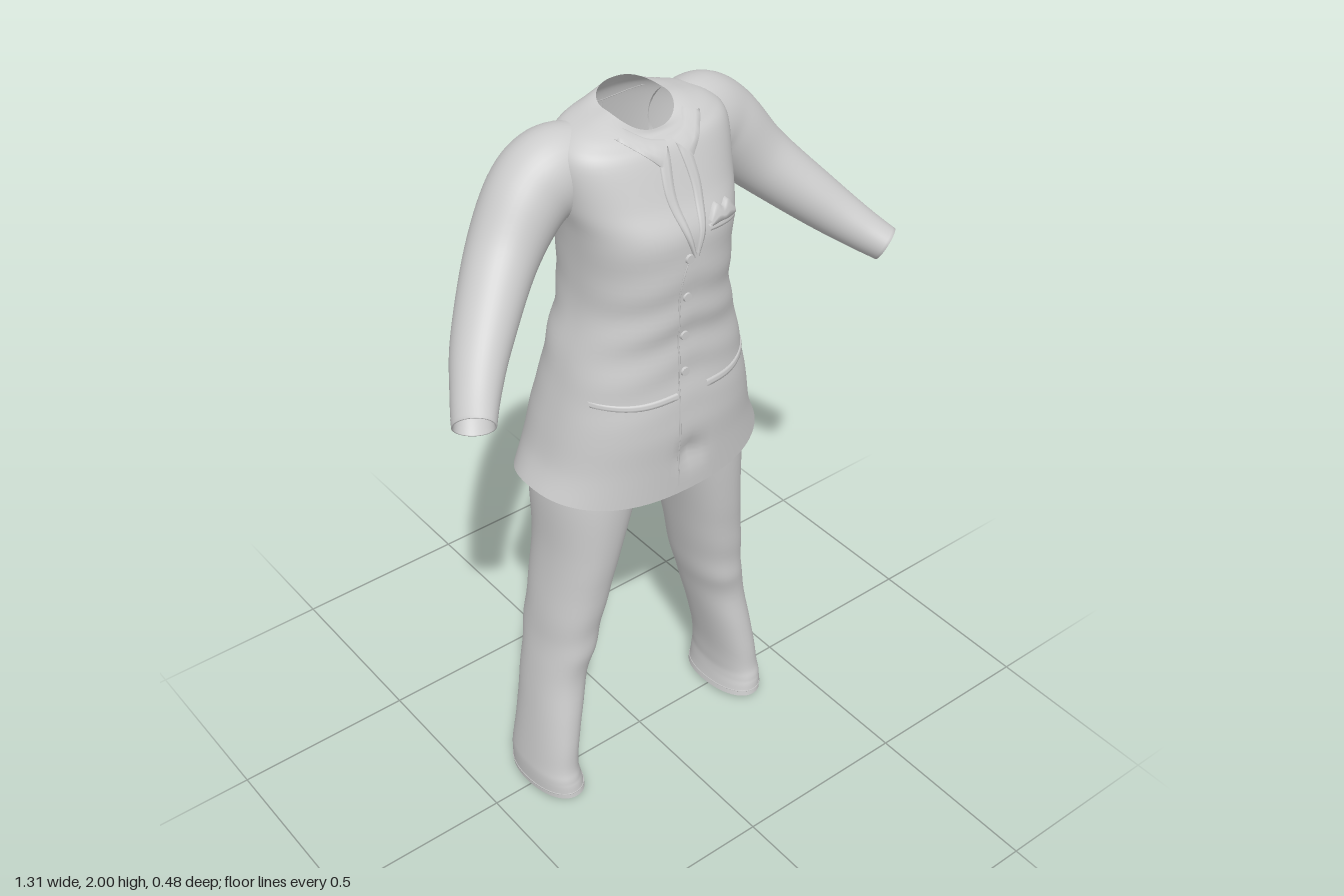
import * as THREE from 'three';

const V = (x, y, z) => new THREE.Vector3(x, y, z);
const material = new THREE.MeshStandardMaterial({ color: 0xcccccc, side: THREE.DoubleSide });

// Smoothly interpolate rows of numbers, n steps between neighbouring rows
function smoothRows(rows, n) {
  const out = [];
  const at = (i) => rows[Math.min(Math.max(i, 0), rows.length - 1)];
  for (let i = 0; i < rows.length - 1; i++) {
    for (let k = 0; k < n; k++) {
      const t = k / n;
      out.push(rows[i].map((b, c) => {
        const a = at(i - 1)[c], d = at(i + 1)[c], e = at(i + 2)[c];
        return 0.5 * (2 * b + (d - a) * t + (2 * a - 5 * b + 4 * d - e) * t * t + (3 * b - a - 3 * d + e) * t ** 3);
      }));
    }
  }
  out.push(rows[rows.length - 1]);
  return out;
}

// Skin a list of rings (closed) or strips (open) with smooth normals
function skin(name, rings, closed = true) {
  const cols = rings[0].length, index = [];
  for (let r = 0; r < rings.length - 1; r++) {
    for (let c = 0; c < (closed ? cols : cols - 1); c++) {
      const a = r * cols + c, b = r * cols + (c + 1) % cols;
      index.push(a, b, a + cols, b, b + cols, a + cols);
    }
  }
  const geometry = new THREE.BufferGeometry().setFromPoints(rings.flat());
  geometry.setIndex(index);
  geometry.computeVertexNormals();
  const mesh = new THREE.Mesh(geometry, material);
  mesh.name = name;
  return mesh;
}

const mirror = (rings) => rings.map((r) => r.map((p) => V(-p.x, p.y, p.z)).reverse());
const spow = (v, p) => Math.sign(v) * Math.abs(v) ** p;

// Horizontal ring: y, inner x, outer x, front z, back z, front and back drop
function ring([y, x0, x1, zf, zb, dropF = 0, dropB = 0], cols, p) {
  return Array.from({ length: cols }, (_, i) => {
    const a = (i / cols) * Math.PI * 2, c = spow(Math.cos(a), p), s = spow(Math.sin(a), p);
    return V((x0 + x1) / 2 + c * (x1 - x0) / 2, y + (s > 0 ? dropF : dropB) * s * s,
      (zf + zb) / 2 + s * (zf - zb) / 2);
  });
}

// Sleeve rings across a bent path: x, y, z, radius up, radius sideways
function sleeveRings(rows, cols) {
  return rows.map(([x, y, z, rn, rs], i) => {
    const p = rows[Math.max(i - 1, 0)], q = rows[Math.min(i + 1, rows.length - 1)];
    const t = V(q[0] - p[0], q[1] - p[1], q[2] - p[2]).normalize();
    const s = t.clone().cross(V(1, 1, 0)).normalize(), n = s.clone().cross(t);
    return Array.from({ length: cols }, (_, k) => {
      const a = (k / cols) * Math.PI * 2;
      return V(x, y, z).addScaledVector(n, rn * Math.cos(a)).addScaledVector(s, rs * Math.sin(a));
    });
  });
}

export function createModel() {
  const model = new THREE.Group();
  model.name = 'suit';

  // Jacket body from neckline to flared hem, with shallow cloth folds
  const jacketRows = [
    [1.975, .085, .065, -.095, -.04, .022], [1.966, .13, .085, -.115, -.03, .005],
    [1.945, .195, .1, -.13, -.02, 0], [1.9, .232, .125, -.14, 0, 0], [1.8, .225, .168, -.155, 0, 0],
    [1.72, .208, .205, -.165, 0, 0], [1.6, .2, .205, -.175, 0, 0], [1.5, .206, .198, -.17, 0, 0],
    [1.4, .235, .195, -.175, 0, 0], [1.3, .257, .204, -.19, 0, 0], [1.2, .28, .212, -.214, 0, 0],
    [1.1, .303, .207, -.225, 0, 0], [1.03, .335, .203, -.23, -.035, -.045],
  ].map(([y, rx, ...rest]) => [y, -rx, rx, ...rest]);
  const jacketRings = smoothRows(jacketRows, 6).map((row) => ring(row, 80, .85));
  for (const p of jacketRings.flat()) {
    const fold = Math.max(0, 1 - Math.abs(p.y - 1.48) / .3);
    p.z += .004 * fold * Math.sin(p.y * 55 + Math.abs(p.x) * 14);
    // hollow beneath the front closure
    p.z -= p.z > 0 ? .02 * Math.exp(-(((p.x) / .03) ** 2) - ((p.y - 1.11) / .04) ** 2) : 0;
  }
  const jacket = skin('jacketBody', jacketRings);
  model.add(jacket);

  // Find the cloth surface in front (side 1) or behind (side -1)
  const ray = new THREE.Raycaster();
  function onCloth(x, y, side = 1, lift = .003) {
    ray.set(V(x, y, side), V(0, 0, -side));
    const hit = ray.intersectObject(jacket)[0];
    return V(x, y, (hit ? hit.point.z : .08 * side) + side * lift);
  }
  function seam(name, pts, side = 1, r = .0022) {
    const flat = new THREE.CatmullRomCurve3(pts.map(([x, y]) => V(x, y, 0))).getPoints(24);
    const path = new THREE.CatmullRomCurve3(flat.map((p) => onCloth(p.x, p.y, side, .001)));
    const mesh = new THREE.Mesh(new THREE.TubeGeometry(path, 40, r, 5), material);
    mesh.name = name;
    model.add(mesh);
  }
  // Thin cloth panel lying between two edge lines
  function panel(name, edgeA, edgeB, lift = .006) {
    const curve = (e) => new THREE.CatmullRomCurve3(e.map(([x, y]) => V(x, y, 0))).getPoints(16);
    const a = curve(edgeA), b = curve(edgeB);
    const rows = a.map((p, i) => [0, .04, .35, .65, .96, 1].map((t, k) => {
      const q = p.clone().lerp(b[i], t);
      return onCloth(q.x, q.y, 1, k % 5 ? lift : -.001);
    }));
    model.add(skin(name, rows, false));
  }

  // Lapels, collar wings and pocket flaps, mirrored
  for (const s of [1, -1]) {
    const m = (pts) => pts.map(([x, y]) => [x * s, y]);
    panel('lapel', m([[.012, 1.915], [.025, 1.82], [.016, 1.75], [.002, 1.68]]),
      m([[.045, 1.9], [.05, 1.82], [.035, 1.75], [.006, 1.67]]));
    panel('collarWing', m([[.008, 1.925], [.05, 1.935], [.085, 1.955]]),
      m([[.045, 1.88], [.07, 1.905], [.12, 1.945]]), .008);
    panel('pocketFlap', m([[.045, 1.305], [.14, 1.3], [.235, 1.308]]),
      m([[.045, 1.288], [.14, 1.284], [.235, 1.294]]), .004);
  }

  // Breast pocket with a folded cloth peeking out
  panel('breastPocket', [[.04, 1.735], [.09, 1.732], [.145, 1.722]], [[.042, 1.722], [.09, 1.717], [.145, 1.709]]);
  panel('pocketCloth', [[.045, 1.745], [.075, 1.772], [.095, 1.758], [.115, 1.768], [.14, 1.735]],
    [[.045, 1.734], [.075, 1.733], [.095, 1.73], [.115, 1.727], [.14, 1.724]], .012);

  // Front closure, centre back seam and vent
  seam('frontEdge', [[-.01, 1.68], [-.035, 1.62], [-.035, 1.4], [-.04, 1.2], [-.035, 1.02]]);
  seam('backSeam', [[0, 1.93], [0, 1.7], [0, 1.5], [0, 1.26]], -1, .0018);
  seam('backVent', [[0, 1.26], [.004, 1.12], [.008, 1.0]], -1, .004);
  seam('yokeStitch', [[-.11, 1.935], [0, 1.925], [.11, 1.935]], -1, .0018);
  for (const y of [1.67, 1.565, 1.455, 1.355]) {
    const button = new THREE.Mesh(new THREE.CylinderGeometry(.011, .012, .006, 20), material);
    button.rotation.x = Math.PI / 2;
    button.position.copy(onCloth(-.018, y));
    button.name = 'frontButton';
    model.add(button);
  }

  // Sleeves, bent forward at the elbow, with a turned-in cuff
  const sleeve = sleeveRings(smoothRows([
    [.14, 1.848, -.04, .105, .09], [.215, 1.845, -.05, .112, .1], [.285, 1.805, -.047, .102, .096],
    [.38, 1.7, -.015, .084, .086], [.5, 1.58, .075, .067, .073], [.57, 1.513, .148, .054, .06],
    [.617, 1.472, .207, .045, .053],
  ], 7), 40);
  const last = sleeve[sleeve.length - 1];
  const hub = last.reduce((a, p) => a.add(p), V(0, 0, 0)).divideScalar(last.length);
  const inward = V(-.02, .02, -.025);
  sleeve.push(last.map((p) => p.clone().lerp(hub, .08)), last.map((p) => p.clone().lerp(hub, .12).add(inward)));
  model.add(skin('leftSleeve', sleeve), skin('rightSleeve', mirror(sleeve)));
  for (const s of [1, -1]) {
    for (const k of [3, 6, 9]) {
      const p = sleeve[sleeve.length - 3 - k][31];
      const button = new THREE.Mesh(new THREE.SphereGeometry(.006, 10, 8), material);
      button.position.set(p.x * s, p.y, p.z);
      button.name = 'cuffButton';
      model.add(button);
    }
  }

  // Trouser legs, spread apart, with a crease and a flared hem
  const leg = smoothRows([
    [1.18, .0, .25, .14, -.16], [1.0, .045, .288, .145, -.175], [.8, .105, .295, .13, -.147],
    [.6, .15, .32, .105, -.14], [.5, .172, .33, .098, -.143], [.4, .2, .346, .086, -.132],
    [.2, .248, .374, .106, -.125], [.11, .26, .386, .112, -.13], [.07, .26, .39, .122, -.134],
    [.01, .25, .389, .13, -.138],
  ], 6).map((row) => ring(row, 48, .92));
  for (const p of leg.flat()) {
    p.z += .003 * Math.sin(p.y * 38 + p.x * 12) * Math.max(0, 1 - Math.abs(p.y - .5) / .3);
    if (p.y < .05) p.y -= p.z < 0 ? .01 * (-p.z / .138) : -.01 * (p.z / .13);
  }
  model.add(skin('leftTrouserLeg', leg), skin('rightTrouserLeg', mirror(leg)));
  const hem = leg[leg.length - 3];
  for (const s of [1, -1]) {
    const path = new THREE.CatmullRomCurve3(hem.map((p) => V(p.x * s, p.y, p.z)), true);
    const stitch = new THREE.Mesh(new THREE.TubeGeometry(path, 96, .0018, 5, true), material);
    stitch.name = 'hemStitch';
    model.add(stitch);
  }

  // Seat of the trousers joining both legs beneath the jacket
  model.add(skin('trouserSeat', smoothRows([
    [1.36, -.21, .21, .15, -.15], [1.2, -.24, .24, .15, -.165], [1.08, -.23, .23, .14, -.16],
    [1.01, -.13, .13, .1, -.12], [.975, -.02, .02, .03, -.05],
  ], 5).map((row) => ring(row, 48, 1))));
  return model;
}
